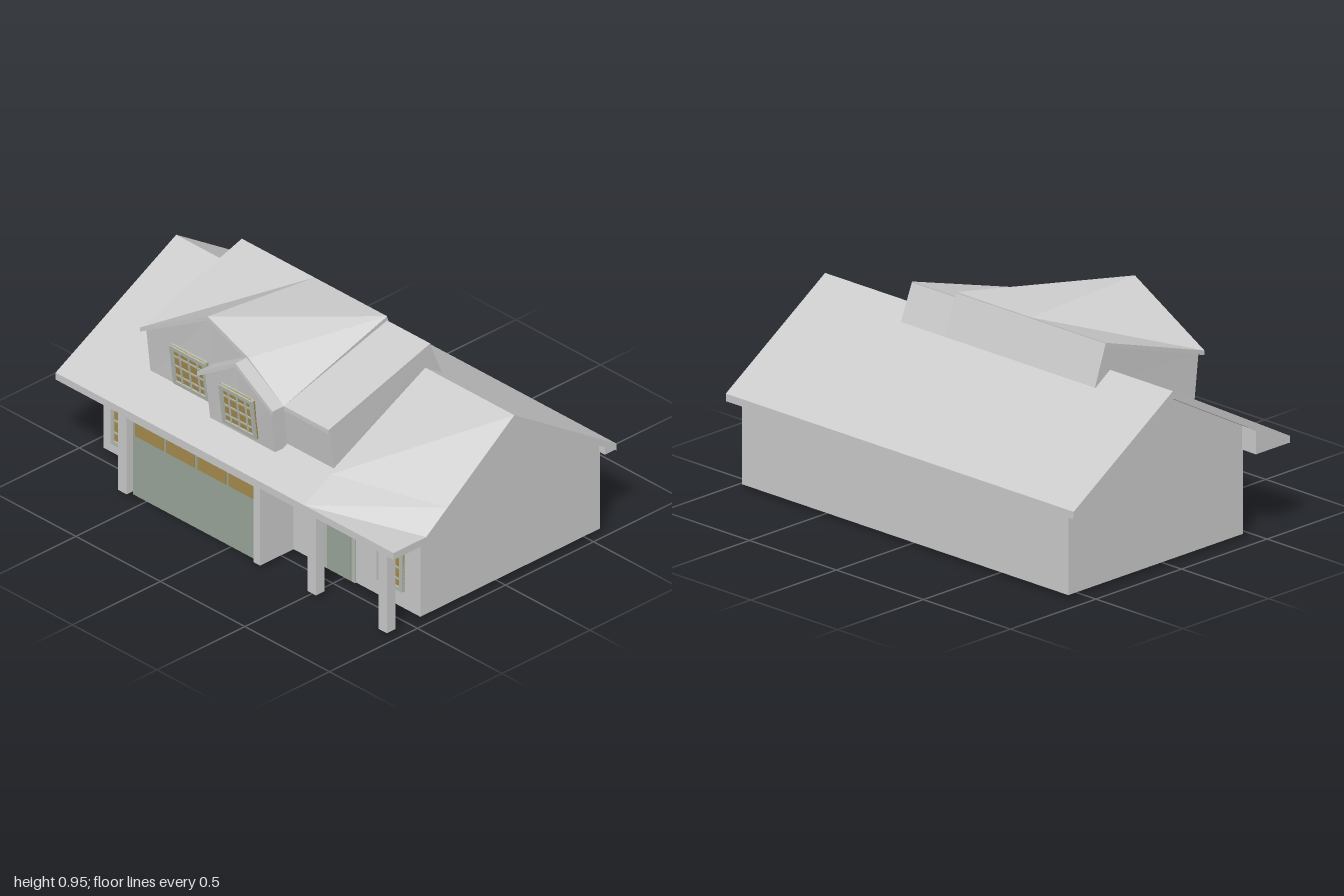
import * as THREE from 'three';

const mat = (color) => new THREE.MeshStandardMaterial({ color, flatShading: true });
const GREY = mat(0xcccccc);
const FRAME = mat(0xb4bab0);
const GLASS = mat(0xa58c4e);
const DOOR = mat(0x9aa69a);

// Closed solid between a top and a bottom grid; rows run along +z, columns along +x
function solid(name, top, bottom) {
  const pos = [];
  const tri = (...pts) => pts.forEach((p) => pos.push(...p));
  const R = top.length - 1, C = top[0].length - 1;
  for (let r = 0; r < R; r++) {
    for (let c = 0; c < C; c++) {
      const quad = (g) => [g[r][c], g[r + 1][c], g[r + 1][c + 1], g[r][c + 1]];
      const [a, b, e, d] = quad(top);
      tri(a, b, e); tri(a, e, d);
      const [a2, b2, e2, d2] = quad(bottom);
      tri(a2, e2, b2); tri(a2, d2, e2);
    }
  }
  const wall = (r, c, s, k) => {
    const p = top[r][c], q = top[s][k], p2 = bottom[r][c], q2 = bottom[s][k];
    tri(q, p, p2); tri(q, p2, q2);
  };
  for (let r = 0; r < R; r++) { wall(r, 0, r + 1, 0); wall(r + 1, C, r, C); }
  for (let c = 0; c < C; c++) { wall(R, c, R, c + 1); wall(0, c + 1, 0, c); }
  const geo = new THREE.BufferGeometry();
  geo.setAttribute('position', new THREE.Float32BufferAttribute(pos, 3));
  geo.computeVertexNormals();
  const mesh = new THREE.Mesh(geo, GREY);
  mesh.name = name;
  return mesh;
}

// Sheet of even vertical thickness
const slab = (name, top, t) =>
  solid(name, top, top.map((row) => row.map(([x, y, z]) => [x, y - t, z])));

// Box given by its limits
function block(name, x0, x1, y0, y1, z0, z1, material = GREY) {
  const mesh = new THREE.Mesh(new THREE.BoxGeometry(x1 - x0, y1 - y0, z1 - z0), material);
  mesh.position.set((x0 + x1) / 2, (y0 + y1) / 2, (z0 + z1) / 2);
  mesh.name = name;
  return mesh;
}

// Framed grid of panes facing -x, leaning by an angle
function windowUnit(name, x, y, z, w, h, cols, rows, lean = 0) {
  const g = new THREE.Group();
  g.name = name;
  const b = 0.018, bar = 0.008;
  g.add(block('pane', -0.004, 0.004, -h / 2, h / 2, -w / 2, w / 2, GLASS));
  for (const s of [-1, 1]) {
    const zc = s * (w - b) / 2, yc = s * (h - b) / 2;
    g.add(block('jamb', -0.012, 0.01, -h / 2, h / 2, zc - b / 2, zc + b / 2, FRAME));
    g.add(block('rail', -0.012, 0.01, yc - b / 2, yc + b / 2, -w / 2, w / 2, FRAME));
  }
  for (let i = 1; i < cols; i++) {
    const zc = -w / 2 + (w * i) / cols;
    g.add(block('bar', -0.008, 0.006, -h / 2, h / 2, zc - bar / 2, zc + bar / 2, FRAME));
  }
  for (let i = 1; i < rows; i++) {
    const yc = -h / 2 + (h * i) / rows;
    g.add(block('bar', -0.008, 0.006, yc - bar / 2, yc + bar / 2, -w / 2, w / 2, FRAME));
  }
  g.position.set(x, y, z);
  g.rotation.z = lean;
  return g;
}

export function createModel() {
  const house = new THREE.Group();
  house.name = 'house';

  // Main walls with gable ends
  const wallRows = [[-0.915, 0.49], [0.47, 0.49], [0.96, 0.39]];
  house.add(solid('walls',
    wallRows.map(([z, y]) => [[-0.445, y, z], [0.05, 0.77, z], [0.575, 0.43, z]]),
    wallRows.map(([z]) => [[-0.445, 0.015, z], [0.05, 0.015, z], [0.575, 0.015, z]])));

  // Main roof: plain slope at the back, turning into a flat porch at the front
  const plain = [[-0.635, 0.415], [-0.635, 0.415], [-0.48, 0.5], [0.05, 0.79], [0.63, 0.415]];
  const porch = [[-0.635, 0.415], [-0.45, 0.415], [-0.33, 0.505], [0.05, 0.79], [0.63, 0.415]];
  house.add(slab('mainRoof',
    [[-1, plain], [0.47, plain], [1, porch]].map(([z, p]) => p.map(([x, y]) => [x, y, z])), 0.033));

  // Boxed eaves
  const soffit = (name, x0, y0, x1, y1, zs) => house.add(solid(name,
    zs.map((z) => [[x0, y0, z], [x1, y1, z]]),
    zs.map((z) => [[x0, 0.384, z], [x1, 0.384, z]])));
  soffit('rightSoffit', 0.57, 0.43, 0.63, 0.39, [-0.995, 0.995]);
  soffit('garageSoffit', -0.634, 0.39, -0.44, 0.49, [-0.995, 0.47]);

  // Garage bay
  house.add(block('garageBay', -0.59, -0.44, 0.015, 0.4, -0.63, 0.21));
  house.add(block('garagePier', -0.635, -0.58, 0.015, 0.39, -0.63, -0.58));
  house.add(block('garagePier', -0.635, -0.58, 0.015, 0.39, 0.17, 0.21));
  house.add(block('garageLintel', -0.625, -0.58, 0.368, 0.39, -0.58, 0.17));
  house.add(block('garageDoor', -0.598, -0.585, 0, 0.37, -0.58, 0.17, DOOR));
  for (let i = 0; i < 4; i++) {
    const z = -0.565 + i * 0.184;
    house.add(block('garageDoorPane', -0.601, -0.59, 0.285, 0.358, z, z + 0.168, GLASS));
  }

  // Porch posts
  for (const z of [0.515, 0.935]) {
    house.add(block('porchPost', -0.635, -0.585, 0.015, 0.4, z - 0.025, z + 0.025));
  }

  // Ground floor openings
  house.add(windowUnit('sideWindow', -0.447, 0.18, -0.765, 0.19, 0.23, 4, 4));
  house.add(windowUnit('porchWindow', -0.447, 0.2, 0.79, 0.15, 0.21, 3, 4));
  house.add(block('frontDoorFrame', -0.452, -0.44, 0.015, 0.33, 0.4, 0.58, FRAME));
  house.add(block('frontDoor', -0.457, -0.44, 0.02, 0.31, 0.42, 0.56, DOOR));

  // Large dormer: [z, front height, back z, back height]
  const gable = [[-0.64, 0.73, -0.64, 0.915], [-0.24, 0.955, -0.21, 0.915],
    [0, 0.86, 0.22, 0.915], [0.21, 0.72, 0.22, 0.915]];
  const shed = [[0.2, 0.72, 0.2, 0.895], [0.475, 0.72, 0.475, 0.895]];
  const inset = (z) => THREE.MathUtils.clamp(z, -0.625, 0.46);
  const dormer = (name, rows) => {
    house.add(slab(name + 'Roof', rows.map(([z, y, zb, yb]) => [[-0.5, y, z], [0.077, yb, zb]]), 0.02));
    house.add(solid(name + 'Walls',
      rows.map(([z, y, zb, yb]) => [[-0.48, y - 0.01, inset(z)], [0.077, yb - 0.004, zb]]),
      rows.map(([z, , zb]) => [[-0.455, 0.5, inset(z)], [0.14, 0.735, zb]])));
  };
  dormer('gableDormer', gable);
  dormer('shedDormer', shed);

  // Small projecting bay with its own gable
  house.add(slab('bayRoof',
    [[-0.235, 0.72], [-0.01, 0.857], [0.21, 0.72]].map(([z, y]) => [[-0.565, y, z], [-0.44, y, z]]), 0.02));
  const bay = [[-0.2, 0.73], [-0.01, 0.845], [0.185, 0.725]];
  house.add(solid('bayWalls',
    bay.map(([z, y]) => [[-0.555, y, z], [-0.42, y, z]]),
    bay.map(([z]) => [[-0.525, 0.5, z], [-0.42, 0.5, z]])));

  // Leaning dormer windows
  house.add(windowUnit('dormerWindow', -0.472, 0.62, -0.37, 0.21, 0.19, 4, 4, 0.12));
  house.add(windowUnit('bayWindow', -0.543, 0.62, -0.01, 0.2, 0.19, 4, 4, 0.12));

  return house;
}
